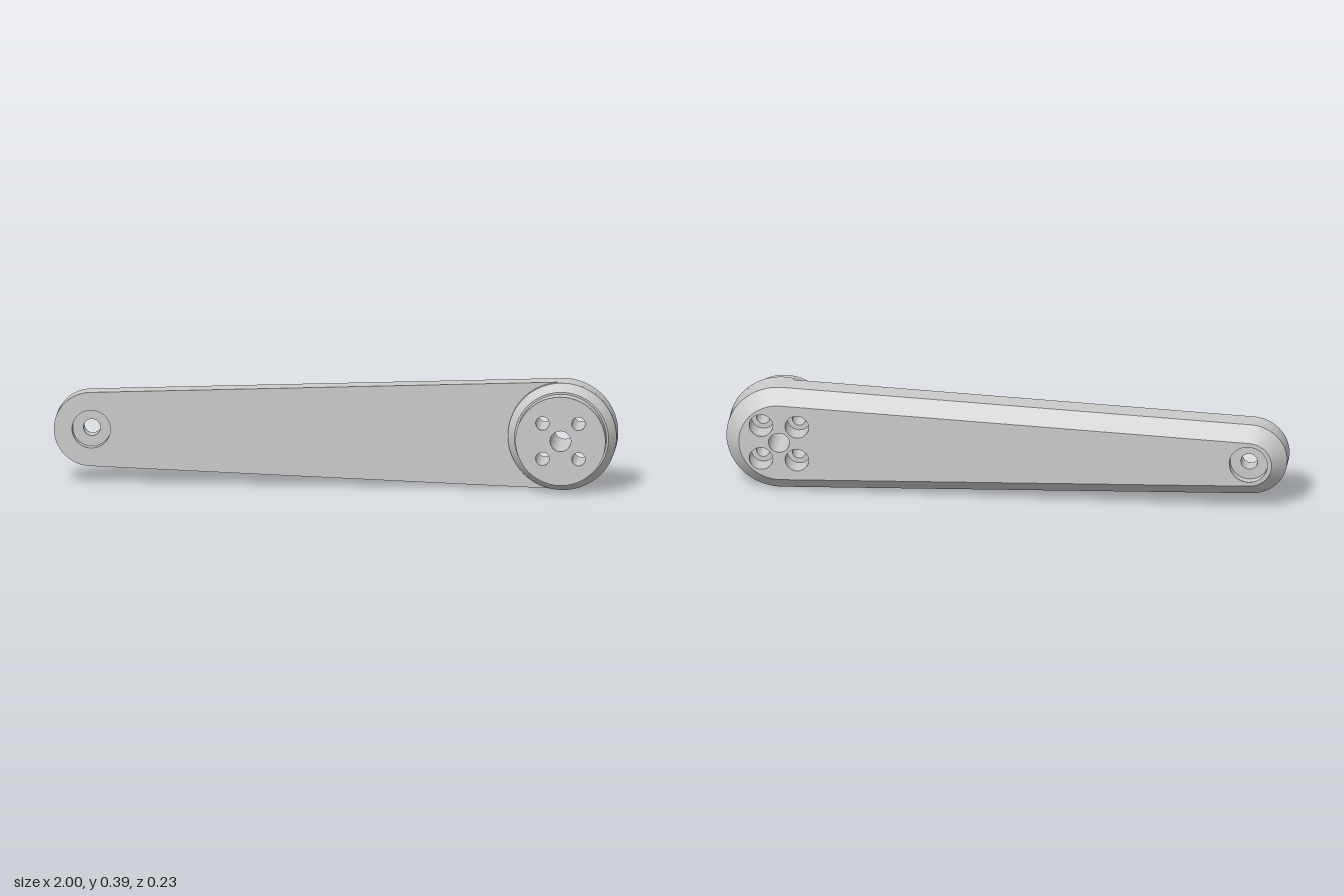
import * as THREE from 'three';
import { toCreasedNormals } from 'three/addons/utils/BufferGeometryUtils.js';

const CY = 0.193;                       // height of the long axis
const BIG = { x: 0.807, r: 0.193 };     // hub end
const SMALL = { x: -0.867, r: 0.133 };  // slim end
const BACK = -0.116, BEVEL = -0.065, FACE = 0.008, HUB_FRONT = 0.116;
const TANGENT = Math.acos(-(BIG.r - SMALL.r) / (BIG.x - SMALL.x));
const SEG = 48;

const material = new THREE.MeshStandardMaterial({ color: 0xcccccc });

function arc(end, from, to, inset = 0) {
  return Array.from({ length: SEG + 1 }, (_, i) => {
    const t = from + (to - from) * i / SEG, r = end.r - inset;
    return new THREE.Vector2(end.x + r * Math.cos(t), CY + r * Math.sin(t));
  });
}

// Two arcs joined by straight tangents, counter-clockwise
function outline(inset) {
  return [
    ...arc(BIG, -TANGENT, TANGENT, inset),
    ...arc(SMALL, TANGENT, 2 * Math.PI - TANGENT, inset),
  ];
}

// Side wall through a list of [z, inset] layers
function wall(layers) {
  const pos = [], index = [];
  for (const [z, inset] of layers) for (const p of outline(inset)) pos.push(p.x, p.y, z);
  const n = pos.length / 3 / layers.length;
  for (let k = 0; k < layers.length - 1; k++) {
    for (let i = 0; i < n; i++) {
      const a = k * n + i, b = k * n + (i + 1) % n;
      index.push(a, b, b + n, a, b + n, a + n);
    }
  }
  const g = new THREE.BufferGeometry();
  g.setAttribute('position', new THREE.Float32BufferAttribute(pos, 3));
  g.setIndex(index);
  g.computeVertexNormals();
  return toCreasedNormals(g, 0.5);
}

// Flat face with round holes given as [x, y, r]
function face(points, holes, z, facingBack = false) {
  const shape = new THREE.Shape(points);
  for (const [x, y, r] of holes) {
    shape.holes.push(new THREE.Path().absarc(x, y, r, 0, Math.PI * 2, true));
  }
  const g = new THREE.ShapeGeometry(shape, 32);
  if (facingBack) {
    const idx = g.index.array;
    for (let i = 0; i < idx.length; i += 3) [idx[i], idx[i + 1]] = [idx[i + 1], idx[i]];
    g.computeVertexNormals();
  }
  return g.translate(0, 0, z);
}

// Surface turned about z: rising z faces outward, falling z faces inward
function turned(profile, x, y, segments = 32) {
  const g = new THREE.LatheGeometry(profile.map(([r, z]) => new THREE.Vector2(r, z)), segments);
  g.rotateX(Math.PI / 2);
  return toCreasedNormals(g, 0.5).translate(x, y, 0);
}

export function createModel() {
  const group = new THREE.Group();
  const add = (name, geometry) => {
    const mesh = new THREE.Mesh(geometry, material);
    mesh.name = name;
    group.add(mesh);
  };

  // Hole positions
  const bore = 0.037, bolt = 0.024, boltSink = 0.042, spread = 0.064;
  const pin = 0.03, pinSink = 0.068;
  const bolts = [];
  for (const sx of [-1, 1]) for (const sy of [-1, 1]) bolts.push([BIG.x + sx * spread, CY + sy * spread]);

  // Tapered arm with a bevelled back edge
  add('armSide', wall([[BACK, 0.05], [BEVEL, 0], [FACE, 0]]));
  add('armBack', face(outline(0.05), [
    [SMALL.x, CY, pinSink],
    [BIG.x, CY, bore],
    ...bolts.map(([x, y]) => [x, y, boltSink]),
  ], BACK, true));

  // Front face stops along the hub's circle
  add('armFront', face([
    ...arc(SMALL, TANGENT, 2 * Math.PI - TANGENT),
    ...arc(BIG, 2 * Math.PI - TANGENT, TANGENT),
  ], [[SMALL.x, CY, pinSink]], FACE));

  // Hub with a cone, a narrow ledge and a raised boss
  add('hub', turned([
    [BIG.r, FACE], [BIG.r, 0.027], [0.167, 0.064], [0.16, 0.064], [0.16, HUB_FRONT],
  ], BIG.x, CY, 72));
  const rim = arc({ x: BIG.x, r: 0.16 }, 0, 2 * Math.PI).slice(0, -1);
  add('hubFace', face(rim, [
    [BIG.x, CY, bore],
    ...bolts.map(([x, y]) => [x, y, bolt]),
  ], HUB_FRONT));

  // Holes through the hub
  add('hubBore', turned([[bore, HUB_FRONT], [bore, BACK]], BIG.x, CY));
  for (const [x, y] of bolts) {
    add('boltHole', turned([
      [bolt, HUB_FRONT], [bolt, -0.045], [boltSink, -0.045], [boltSink, BACK],
    ], x, y));
  }

  // Pin hole, recessed from both sides
  add('pinHole', turned([
    [pinSink, FACE], [pinSink, FACE - 0.036], [pin, FACE - 0.036],
    [pin, BACK + 0.03], [pinSink, BACK + 0.03], [pinSink, BACK],
  ], SMALL.x, CY));

  return group;
}
